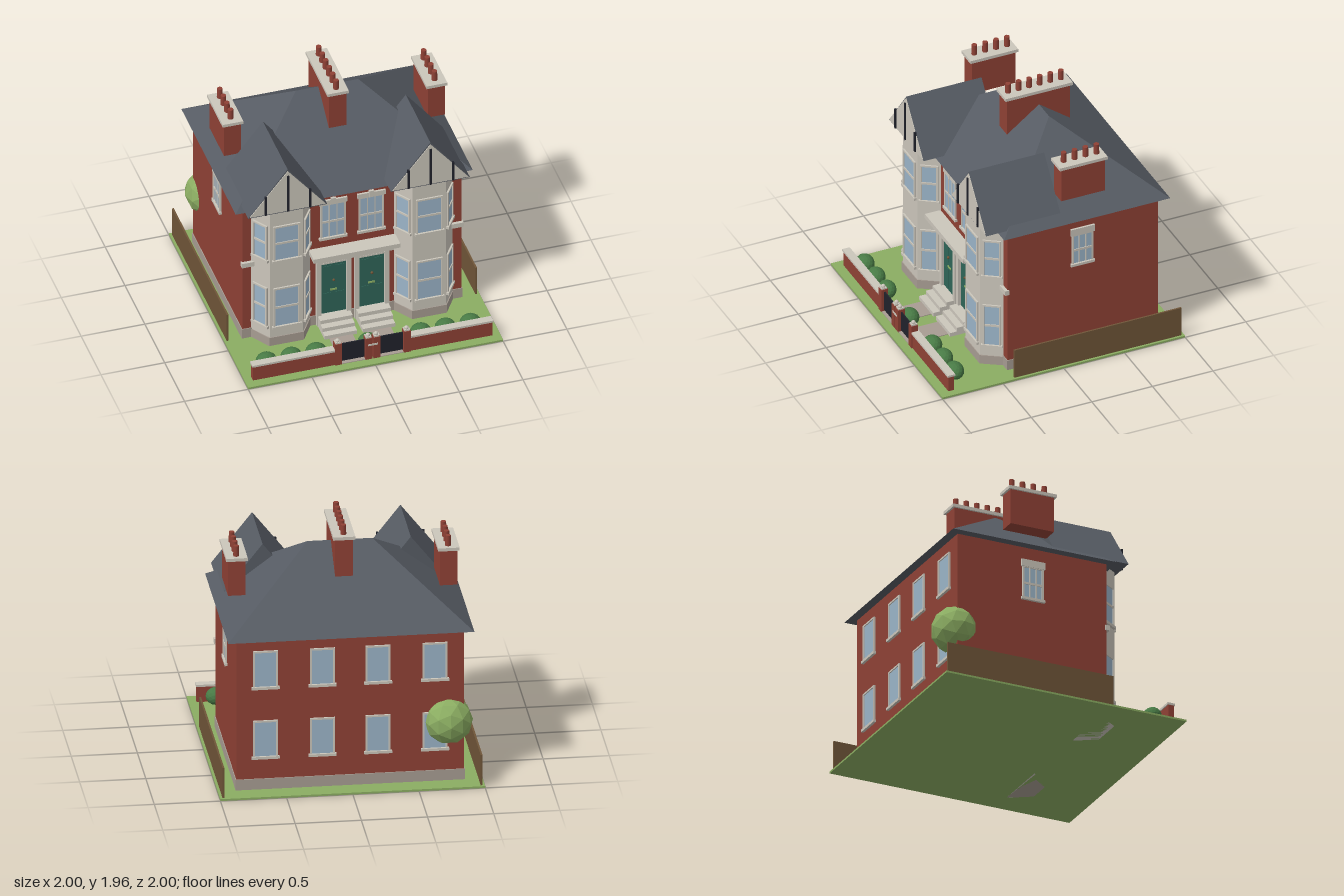
import * as THREE from 'three';

const mat = (name, color) => Object.assign(new THREE.MeshStandardMaterial({ color }), { name });
const brick = mat('brick', 0x8f4135), slate = mat('slate', 0x565b63), cream = mat('cream stone', 0xcbc6bb),
  glass = mat('glass', 0x9bb4c8), green = mat('door green', 0x2f6558), black = mat('black', 0x20222b),
  leaf = mat('lawn and leaf', 0x8bad62), wood = mat('fence wood', 0x6f5538),
  paving = mat('paving', 0xa79c92), hedge = mat('bush green', 0x487a45);

function add(parent, name, geo, material, x = 0, y = 0, z = 0) {
  const m = new THREE.Mesh(geo, material);
  m.name = name;
  m.position.set(x, y, z);
  parent.add(m);
  return m;
}

// Box given by its lower and upper limits on each axis
function box(parent, name, material, x0, x1, y0, y1, z0, z1) {
  return add(parent, name, new THREE.BoxGeometry(x1 - x0, y1 - y0, z1 - z0), material,
    (x0 + x1) / 2, (y0 + y1) / 2, (z0 + z1) / 2);
}

function group(parent, name, x = 0, y = 0, z = 0, ry = 0) {
  const g = new THREE.Group();
  g.name = name;
  g.position.set(x, y, z);
  g.rotation.y = ry;
  parent.add(g);
  return g;
}

const polygon = (pts) => new THREE.Shape(pts.map(([x, y]) => new THREE.Vector2(x, y)));
const extrude = (shape, depth) => new THREE.ExtrudeGeometry(shape, { depth, bevelEnabled: false, curveSegments: 12 });

// Window standing on its sill at the local origin, facing local +z
function windowUnit(parent, name, w, h, { bars = [], transom = 0, lintel = 0, frame = 0.014 } = {}) {
  const g = parent, a = w / 2, f = frame;
  box(g, name + 'Glass', glass, -a, a, 0, h, -0.004, 0.004);
  for (const s of [-1, 1]) box(g, name + 'Jamb', cream, s * a - f / 2, s * a + f / 2, 0, h, -0.005, 0.012);
  box(g, name + 'Head', cream, -a - f / 2, a + f / 2, h - f / 2, h + f / 2, -0.005, 0.012);
  box(g, name + 'Sill', cream, -a - 0.018, a + 0.018, -0.018, 0.003, -0.005, 0.02);
  for (const x of bars) box(g, name + 'Mullion', cream, x - 0.004, x + 0.004, 0, h, -0.005, 0.009);
  if (transom) box(g, name + 'Transom', cream, -a, a, transom - 0.009, transom + 0.009, -0.005, 0.01);
  if (lintel) box(g, name + 'Lintel', cream, -a - 0.018, a + 0.018, h, h + lintel, -0.005, 0.016);
}

// Hipped roof with a flat underside
function hipRoof(x, z0, z1, y0, y1, ridge) {
  const zm = (z0 + z1) / 2;
  const A = [-x, y0, z1], B = [x, y0, z1], C = [x, y0, z0], D = [-x, y0, z0], R = [ridge, y1, zm], L = [-ridge, y1, zm];
  const faces = [A, B, R, A, R, L, B, C, R, C, D, L, C, L, R, D, A, L, A, C, B, A, D, C];
  const geo = new THREE.BufferGeometry();
  geo.setAttribute('position', new THREE.Float32BufferAttribute(faces.flat(), 3));
  geo.computeVertexNormals();
  return geo;
}

function chimney(parent, x, w, z0, z1, y0, y1, potTop, pots) {
  const g = group(parent, 'chimney');
  box(g, 'chimneyStack', brick, x - w, x + w, y0, y1, z0, z1);
  box(g, 'chimneyCap', cream, x - w - 0.015, x + w + 0.015, y1, y1 + 0.025, z0 - 0.017, z1 + 0.017);
  for (const z of pots) {
    add(g, 'chimneyPot', new THREE.CylinderGeometry(0.021, 0.023, potTop - y1, 10), brick, x, (potTop + y1) / 2, z);
  }
}

// Two-storey bay with canted sides, centred on local x = 0
const bayPlan = (e) => polygon([[-0.23 - e, -0.38], [0.23 + e, -0.38], [0.23 + e, -0.4], [0.13 + e, -0.55 - e], [-0.13 - e, -0.55 - e], [-0.23 - e, -0.4]]);
function bay(parent, x) {
  const g = group(parent, 'bayWindow', x);
  const prism = (e, h) => extrude(bayPlan(e), h).rotateX(-Math.PI / 2);
  add(g, 'bayWalls', prism(0, 1.275), cream);
  add(g, 'bayPlinth', prism(0.006, 0.09), paving);
  for (const [y, h] of [[0.19, 0.35], [0.81, 0.31]]) {
    windowUnit(group(g, 'bayFrontWindow', 0, y, 0.551), 'bayFront', 0.195, h, { transom: h * 0.5 });
    for (const s of [-1, 1]) {
      windowUnit(group(g, 'baySideWindow', s * 0.181, y, 0.4755, s * Math.atan2(0.15, 0.1)), 'baySide', 0.125, h, { transom: h * 0.5 });
    }
  }
}

// Half-timbered gable over a bay
function gable(parent, x) {
  const g = group(parent, 'gable', x);
  add(g, 'gableRoof', extrude(polygon([[-0.31, 1.27], [0.31, 1.27], [0, 1.665]]), 0.62), slate, 0, 0, -0.04);
  add(g, 'gablePanel', extrude(polygon([[-0.298, 1.28], [0.298, 1.28], [0, 1.65]]), 0.006), cream, 0, 0, 0.58);
  for (const [px, top] of [[-0.175, 1.45], [0, 1.61], [0.175, 1.45]]) {
    box(g, 'gableTimber', black, px - 0.008, px + 0.008, 1.28, top, 0.58, 0.597);
  }
}

// Door, fanlight, surround and steps
function entrance(parent, x) {
  const g = group(parent, 'entrance', x);
  const surround = polygon([[-0.135, 0.02], [0.135, 0.02], [0.135, 0.66], [-0.135, 0.66]]);
  const hole = new THREE.Path();
  hole.moveTo(-0.1, 0.1);
  hole.lineTo(0.1, 0.1);
  hole.lineTo(0.1, 0.595);
  hole.absellipse(0, 0.595, 0.1, 0.062, 0, Math.PI, false);
  hole.lineTo(-0.1, 0.1);
  surround.holes.push(hole);
  add(g, 'doorSurround', extrude(surround, 0.035), cream, 0, 0, 0.4);
  box(g, 'door', green, -0.1, 0.1, 0.1, 0.585, 0.4, 0.412);
  box(g, 'fanlight', glass, -0.1, 0.1, 0.595, 0.659, 0.4, 0.408);
  box(g, 'doorHead', cream, -0.1, 0.1, 0.583, 0.598, 0.4, 0.43);
  for (const a of [-0.8, 0, 0.8]) {
    const bar = box(g, 'fanlightBar', cream, -0.003, 0.003, 0, 0.075, 0, 0.004);
    bar.geometry.translate(0, 0.0375, 0);
    bar.position.set(0, 0.59, 0.411);
    bar.rotation.z = a;
    bar.scale.y = a ? 1.1 : 0.85;
  }
  for (const s of [-1, 1]) {
    box(g, 'doorPanel', green, s * 0.05 - 0.032, s * 0.05 + 0.032, 0.36, 0.55, 0.41, 0.416);
    box(g, 'doorPanel', green, s * 0.05 - 0.032, s * 0.05 + 0.032, 0.13, 0.3, 0.41, 0.416);
  }
  box(g, 'letterbox', leaf, -0.027, 0.027, 0.319, 0.333, 0.41, 0.418);
  add(g, 'doorKnob', new THREE.SphereGeometry(0.011, 10, 8), wood, 0, 0.42, 0.424);
  for (let i = 0; i < 3; i++) box(g, 'step', cream, -0.127, 0.127, 0.015, 0.048 + i * 0.032, 0.4, 0.605 - i * 0.055);
}

export function createModel() {
  const house = new THREE.Group();
  house.name = 'house';

  // Ground and main body
  box(house, 'lawn', leaf, -1, 1, 0, 0.015, -1, 1);
  box(house, 'walls', brick, -0.86, 0.86, 0.01, 1.24, -0.84, 0.4);
  box(house, 'plinth', paving, -0.866, 0.866, 0.01, 0.1, -0.848, 0.406);
  add(house, 'mainRoof', hipRoof(0.93, -0.91, 0.46, 1.235, 1.75, 0.245), slate);
  chimney(house, 0, 0.068, -0.48, 0.04, 1.5, 1.857, 1.96, [0, -0.087, -0.174, -0.261, -0.348, -0.435]);

  // Porch canopy across both doors
  box(house, 'canopy', cream, -0.34, 0.34, 0.69, 0.727, 0.4, 0.53);
  box(house, 'canopyBase', cream, -0.3, 0.3, 0.655, 0.69, 0.4, 0.5);

  for (const s of [-1, 1]) {
    bay(house, s * 0.56);
    gable(house, s * 0.56);
    entrance(house, s * 0.15);
    chimney(house, s * 0.8, 0.066, -0.4, -0.04, 1.41, 1.692, 1.8, [-0.09, -0.18, -0.27, -0.36]);
    box(house, 'stringCourse', cream, s * 0.82 - 0.05, s * 0.82 + 0.05, 0.69, 0.73, 0.39, 0.425);

    // Upper front and side windows
    const front = group(house, 'frontWindow', s * 0.15, 0.82, 0.401);
    windowUnit(front, 'front', 0.185, 0.31, { bars: [-0.03, 0.03], transom: 0.145, lintel: 0.04 });
    box(front, 'keystone', cream, -0.02, 0.02, 0.31, 0.366, 0, 0.02);
    windowUnit(group(house, 'sideWindow', s * 0.861, 0.82, -0.215, s * Math.PI / 2), 'side', 0.16, 0.255,
      { bars: [-0.027, 0.027], transom: 0.12, lintel: 0.058 });

    // Back windows
    for (const x of [0.21, 0.64]) {
      for (const y of [0.28, 0.845]) windowUnit(group(house, 'backWindow', s * x, y, -0.841, Math.PI), 'back', 0.175, 0.285);
    }

    // Side fence, front wall, gates and paths
    box(house, 'fence', wood, s * 0.975 - 0.007, s * 0.975 + 0.007, 0.01, 0.26, -0.98, 0.4);
    box(house, 'gardenWall', brick, s * 0.605 - 0.335, s * 0.605 + 0.335, 0.01, 0.14, 0.878, 0.925);
    box(house, 'wallCoping', cream, s * 0.607 - 0.338, s * 0.607 + 0.338, 0.14, 0.157, 0.87, 0.932);
    box(house, 'gate', black, s * 0.15 - 0.092, s * 0.15 + 0.092, 0.03, 0.19, 0.9, 0.91);
    box(house, 'path', paving, s * 0.15 - 0.092, s * 0.15 + 0.092, 0.01, 0.02, 0.6, 0.93);
    for (const x of [0.032, 0.27]) {
      box(house, 'gatePier', brick, s * x - 0.027, s * x + 0.027, 0.01, 0.208, 0.878, 0.933);
      box(house, 'pierCap', cream, s * x - 0.022, s * x + 0.022, 0.208, 0.22, 0.883, 0.928);
      add(house, 'pierBall', new THREE.SphereGeometry(0.017, 10, 8), cream, s * x, 0.226, 0.905);
    }
  }
  box(house, 'pierPlate', cream, -0.038, 0.038, 0.14, 0.156, 0.93, 0.936);

  // Bushes and back tree
  hedge.flatShading = leaf.flatShading = true;
  for (const x of [-0.8, -0.605, -0.41, 0, 0.41, 0.605, 0.8]) {
    add(house, 'bush', new THREE.IcosahedronGeometry(0.082, 2), hedge, x, 0.088, 0.81).scale.set(1, 0.84, 0.86);
  }
  add(house, 'tree', new THREE.IcosahedronGeometry(0.185, 1), leaf, -0.745, 0.49, -0.815).scale.set(1, 1, 0.94);
  return house;
}
